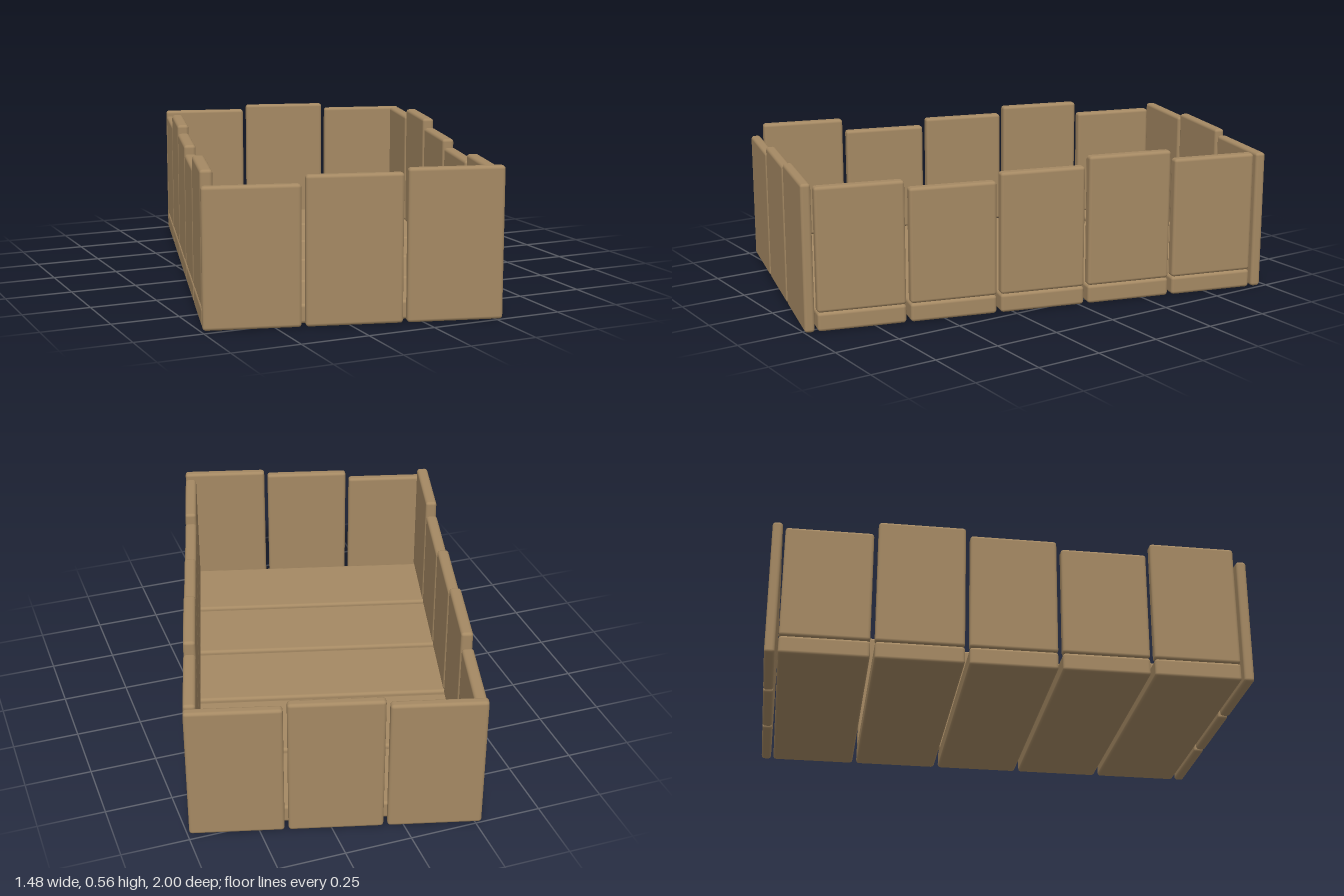
import * as THREE from 'three';
import { RoundedBoxGeometry } from 'three/addons/geometries/RoundedBoxGeometry.js';

export function createModel() {
  const model = new THREE.Group();
  model.name = 'plankBox';
  const wood = new THREE.MeshStandardMaterial({ color: 0xa58963 });

  // One softly bevelled board, standing on height y
  function board(name, w, h, d, x, y, z) {
    const mesh = new THREE.Mesh(new RoundedBoxGeometry(w, h, d, 2, 0.012), wood);
    mesh.name = name;
    mesh.position.set(x, y + h / 2, z);
    model.add(mesh);
  }

  const floorHeight = 0.07, pitch = 0.342, boardWidth = 0.326;
  const halfWidth = 0.527, halfLength = 0.895;

  // Heights of the upright boards' tops, listed from back to front
  const leftTops = [0.53, 0.565, 0.53, 0.5, 0.53];
  const rightTops = [0.51, 0.56, 0.53, 0.5, 0.55];

  // Floor boards, each carrying one upright at both ends
  for (let i = 0; i < 5; i++) {
    const z = (i - 2) * pitch;
    board('floorBoard', 2 * halfWidth, floorHeight, boardWidth, 0, 0, z);
    for (const [side, tops, name] of [[1, leftTops, 'leftBoard'], [-1, rightTops, 'rightBoard']]) {
      board(name, 0.045, tops[i] - floorHeight, boardWidth, side * (halfWidth - 0.0225), floorHeight, z);
    }
  }

  // End boards, listed from -x to +x, reaching down to the ground
  const endThickness = 0.038;
  const ends = [[1, [0.5, 0.53, 0.545], 'frontBoard'], [-1, [0.53, 0.55, 0.53], 'backBoard']];
  for (const [side, tops, name] of ends) {
    tops.forEach((top, i) => board(name, 0.342, top, endThickness,
      (i - 1) * 0.356, 0, side * (halfLength - endThickness / 2)));
  }

  // The whole box stands turned on the ground
  model.rotation.y = -THREE.MathUtils.degToRad(15.3);
  const root = new THREE.Group();
  root.name = 'openBox';
  root.add(model);
  return root;
}
